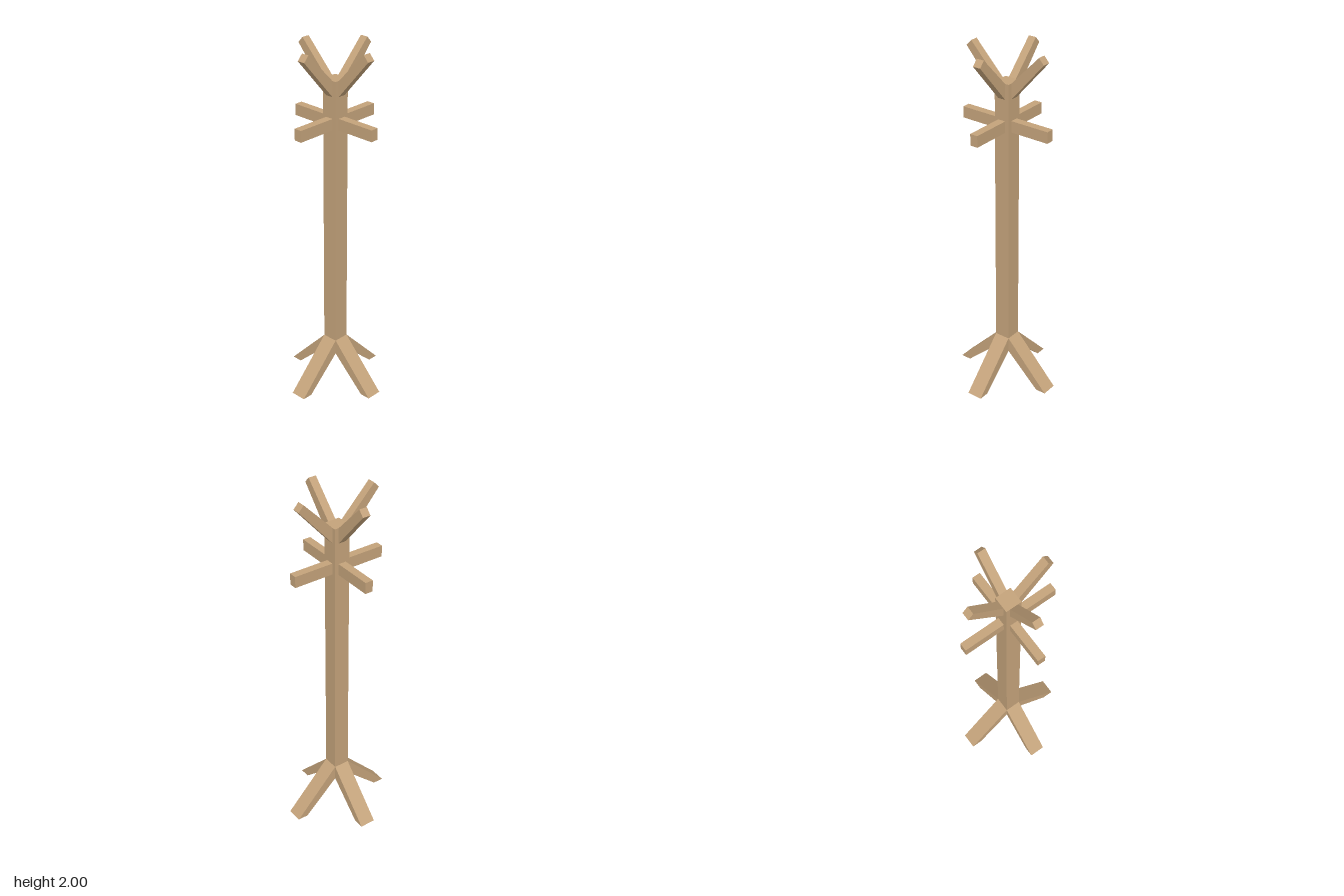
import * as THREE from 'three';

// Side outline (distance from the axis, height) extruded to a centred width
function profile(points, width) {
  const shape = new THREE.Shape(points.map(([r, y]) => new THREE.Vector2(r, y)));
  const geometry = new THREE.ExtrudeGeometry(shape, { depth: width, bevelEnabled: false });
  return geometry.translate(0, 0, -width / 2);
}

export function createModel() {
  const model = new THREE.Group();
  model.name = 'coatStand';
  const wood = new THREE.MeshStandardMaterial({ color: 0xc3a27a });
  wood.name = 'wood';

  const half = 0.045; // half the post's width
  const postBottom = 0.185;
  const postTop = 1.825;

  // Square post, held off the floor by the legs
  const post = new THREE.Mesh(new THREE.BoxGeometry(half * 2, postTop - postBottom, half * 2), wood);
  post.name = 'post';
  post.position.y = (postTop + postBottom) / 2;
  model.add(post);

  // Parts repeated on each of the four sides
  const parts = {
    leg: profile([[half, postBottom], [0.245, 0], [0.305, 0], [half, 0.272]], half * 2),
    peg: profile([[half, 1.555], [0.274, 1.555], [0.274, 1.619], [half, 1.619]], half),
    hook: profile([[half, 1.738], [0.244, 1.967], [0.214, 2], [half, postTop]], half),
  };
  for (const [name, geometry] of Object.entries(parts)) {
    ['Left', 'Back', 'Right', 'Front'].forEach((side, i) => {
      const mesh = new THREE.Mesh(geometry, wood);
      mesh.name = name + side;
      mesh.rotation.y = (i * Math.PI) / 2;
      model.add(mesh);
    });
  }
  return model;
}
